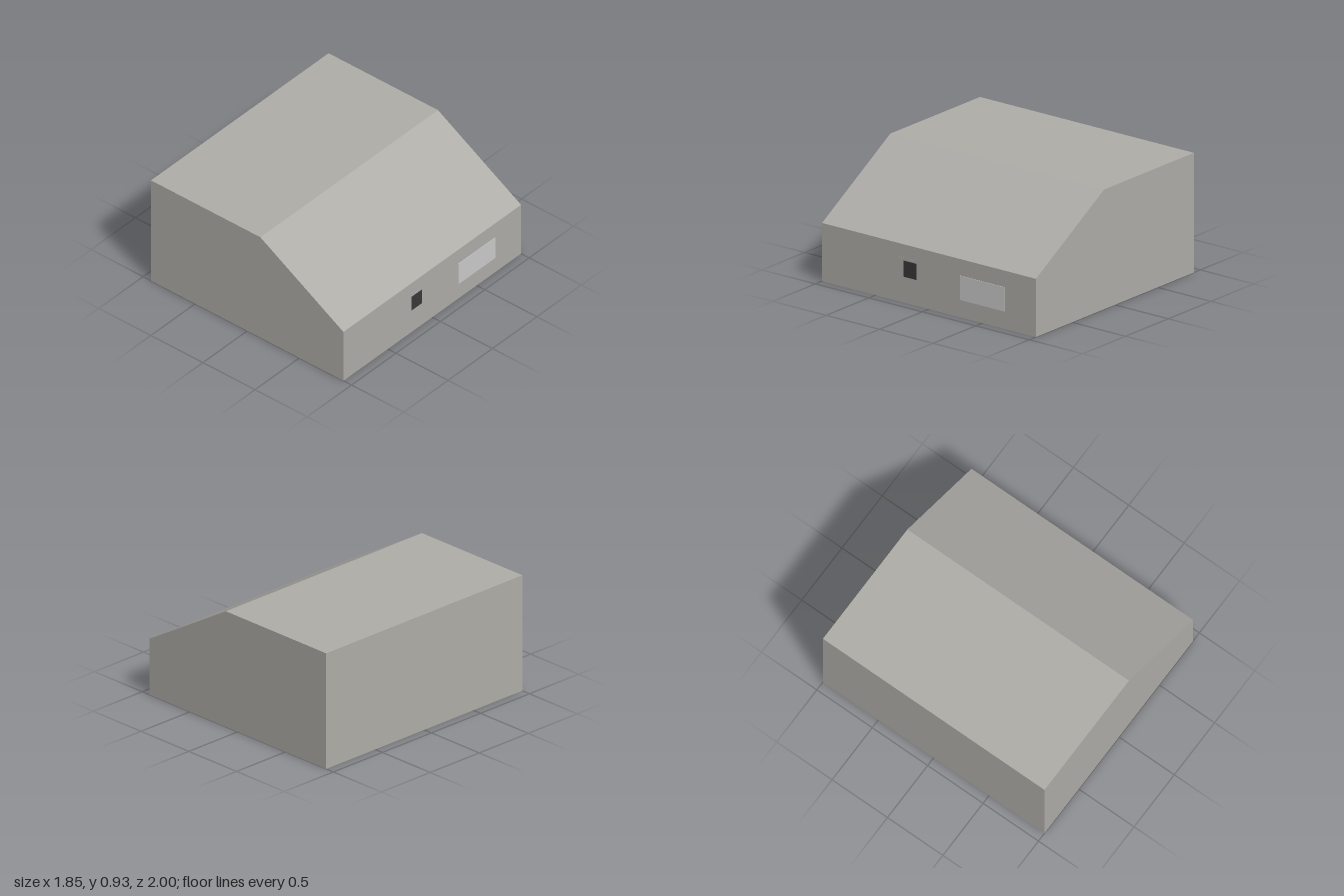
import * as THREE from 'three';

const wallMat = new THREE.MeshStandardMaterial({ name: 'concrete', color: 0xafada8 });
const glassMat = new THREE.MeshStandardMaterial({ name: 'pale glass', color: 0xcacaca });
const darkMat = new THREE.MeshStandardMaterial({ name: 'dark pane', color: 0x383838 });

const WALL_X = 0.922;

// Thin plate on the low side wall, spanning the given z and y ranges
function plate(name, material, z0, z1, y0, y1, thickness) {
  const depth = thickness + 0.004;
  const mesh = new THREE.Mesh(new THREE.BoxGeometry(depth, y1 - y0, z1 - z0), material);
  mesh.position.set(WALL_X + thickness - depth / 2, (y0 + y1) / 2, (z0 + z1) / 2);
  mesh.name = name;
  return mesh;
}

export function createModel() {
  const group = new THREE.Group();
  group.name = 'building';

  // Main body: flat roof that slopes down to the low side wall
  const profile = new THREE.Shape([
    [-0.925, 0], [WALL_X, 0], [WALL_X, 0.45], [0.125, 0.925], [-0.925, 0.925],
  ].map(([x, y]) => new THREE.Vector2(x, y)));
  const bodyGeometry = new THREE.ExtrudeGeometry(profile, { depth: 2, bevelEnabled: false });
  bodyGeometry.translate(0, 0, -1);
  const body = new THREE.Mesh(bodyGeometry, wallMat);
  body.name = 'buildingBody';
  group.add(body);

  // Door with its small pane, and the wide window
  group.add(
    plate('door', wallMat, 0.065, 0.285, 0.001, 0.345, 0.001),
    plate('doorPane', darkMat, 0.115, 0.235, 0.2, 0.325, 0.002),
    plate('sideWindow', glassMat, -0.705, -0.292, 0.135, 0.322, 0.004),
  );
  return group;
}
